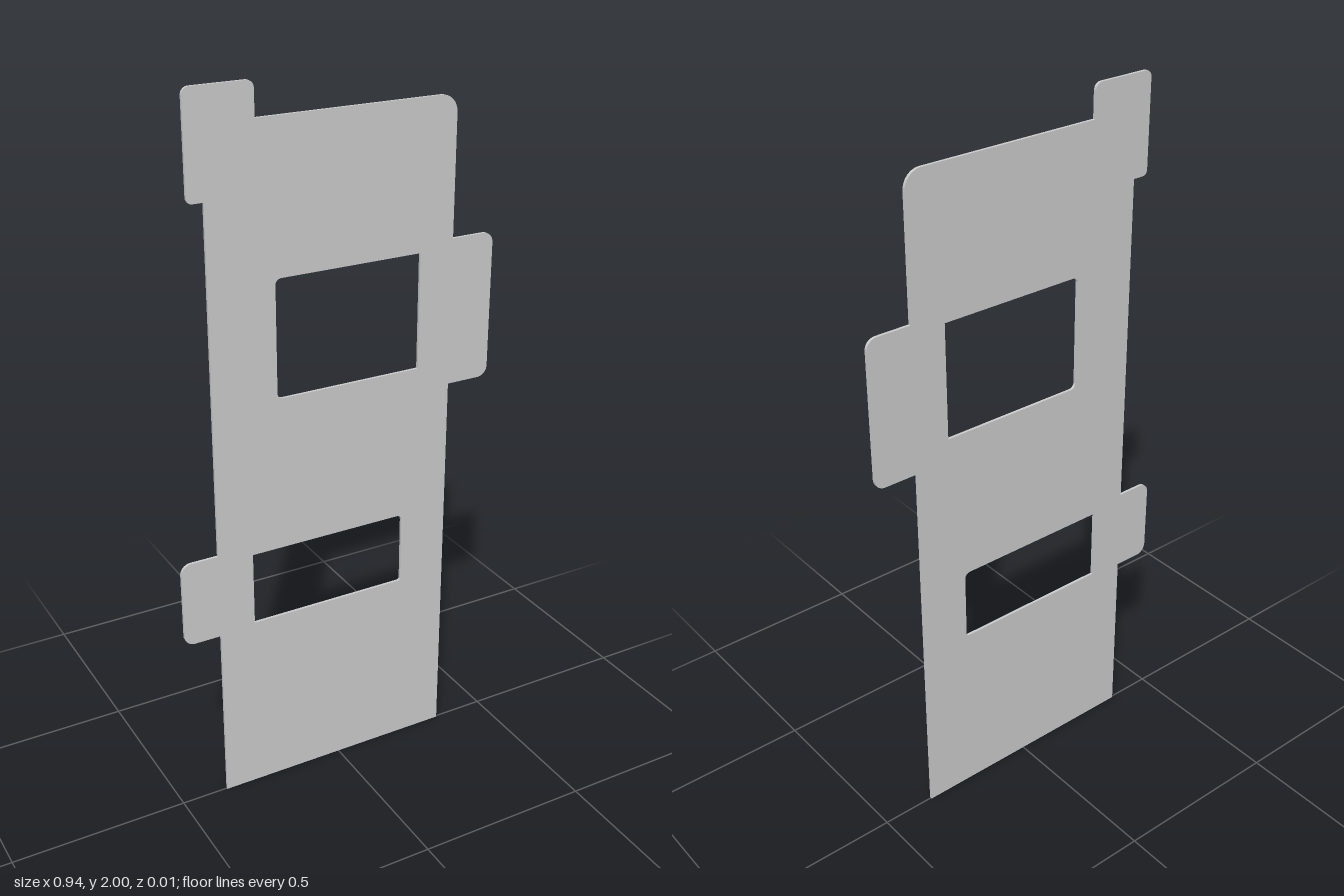
import * as THREE from 'three';

const THICKNESS = 0.008;

// Trace a closed outline of [x, y, cornerRadius] points, rounding each corner by its radius.
function trace(path, points) {
  const n = points.length;
  points.forEach(([x, y, r = 0], i) => {
    const corner = new THREE.Vector2(x, y);
    const towards = ([px, py]) =>
      new THREE.Vector2(px, py).sub(corner).setLength(r).add(corner);
    const a = towards(points[(i + n - 1) % n]);
    const b = towards(points[(i + 1) % n]);
    if (i === 0) path.moveTo(a.x, a.y);
    else path.lineTo(a.x, a.y);
    if (r > 0) {
      // Cubic handles that approximate a quarter circle
      const h1 = a.clone().lerp(corner, 0.5523);
      const h2 = b.clone().lerp(corner, 0.5523);
      path.bezierCurveTo(h1.x, h1.y, h2.x, h2.y, b.x, b.y);
    }
  });
  path.closePath();
  return path;
}

export function createModel() {
  const group = new THREE.Group();
  group.name = 'flatPanel';

  // Panel outline with its three side tabs, counter-clockwise from the bottom
  const outline = trace(new THREE.Shape(), [
    [-0.365, 0], [0.345, 0],
    // right tab
    [0.345, 1.115], [0.472, 1.115, 0.03], [0.472, 1.53, 0.03], [0.345, 1.53],
    // rounded top corner
    [0.345, 1.91, 0.048],
    // top tab
    [-0.226, 1.91], [-0.226, 2, 0.02], [-0.41, 2, 0.02],
    [-0.41, 1.725, 0.015], [-0.365, 1.725],
    // lower left tab
    [-0.365, 0.765], [-0.472, 0.765, 0.03], [-0.472, 0.518, 0.03], [-0.365, 0.518],
  ]);

  // Upper window, rounded on its left side
  outline.holes.push(trace(new THREE.Path(), [
    [-0.18, 1.18, 0.016], [-0.18, 1.505, 0.016], [0.245, 1.505], [0.245, 1.18],
  ]));
  // Lower window, rounded on its right side
  outline.holes.push(trace(new THREE.Path(), [
    [-0.263, 0.529], [-0.263, 0.742], [0.203, 0.742, 0.016], [0.203, 0.529, 0.008],
  ]));

  const geometry = new THREE.ExtrudeGeometry(outline, {
    depth: THICKNESS, bevelEnabled: false, curveSegments: 8,
  });
  geometry.translate(0, 0, -THICKNESS / 2);

  const panel = new THREE.Mesh(geometry, new THREE.MeshStandardMaterial({ color: 0xcccccc }));
  panel.name = 'panel';
  group.add(panel);
  return group;
}
